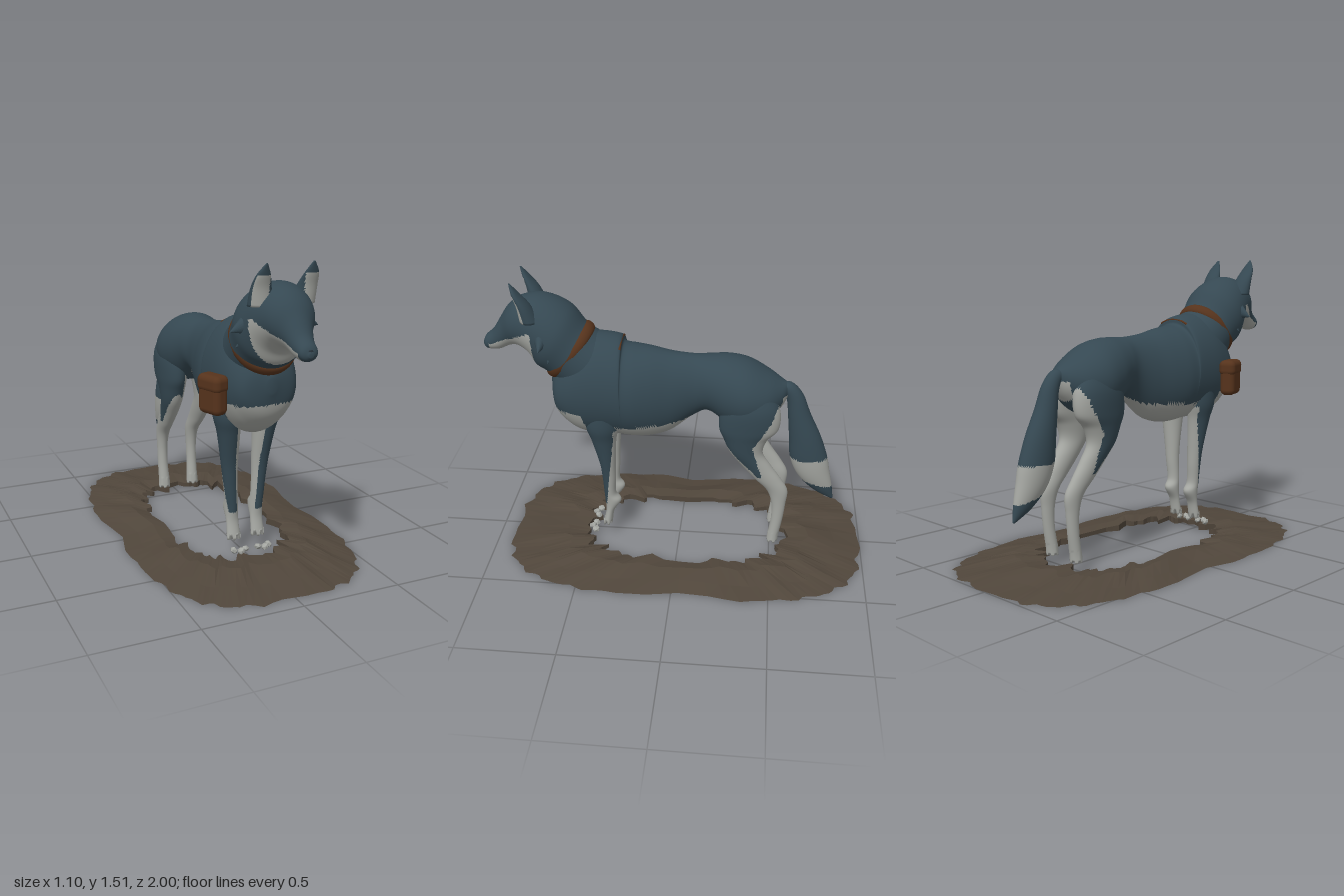
import * as THREE from 'three';
import { RoundedBoxGeometry } from 'three/addons/geometries/RoundedBoxGeometry.js';

const mat = (name, color, side = THREE.FrontSide) => {
  const m = new THREE.MeshStandardMaterial({ color, side });
  m.name = name;
  return m;
};
const lerp = THREE.MathUtils.lerp;
// piecewise linear function through [x, y] pairs sorted by x
const ramp = (pts, x) => {
  if (x <= pts[0][0]) return pts[0][1];
  for (let i = 1; i < pts.length; i++) {
    const [a, b] = [pts[i - 1], pts[i]];
    if (x <= b[0]) return lerp(a[1], b[1], (x - a[0]) / (b[0] - a[0]));
  }
  return pts[pts.length - 1][1];
};

// Smooth skin through elliptical sections [x, y, z, halfWidth, halfHeight, tiltDegrees].
// rule(point, sine) picks the material index of each face; adjust(point, j) may move points.
function loft(sections, rule = () => 0, { around = 48, steps = 8, adjust } = {}) {
  const centres = new THREE.CatmullRomCurve3(sections.map(s => new THREE.Vector3(s[0], s[1], s[2])), false, 'catmullrom', 0.5);
  const sizes = new THREE.CatmullRomCurve3(sections.map(s => new THREE.Vector3(s[3], s[4], s[5])), false, 'catmullrom', 0.5);
  const rows = (sections.length - 1) * steps;
  const pts = [], faces = [[], []];
  for (let i = 0; i <= rows; i++) {
    const c = centres.getPoint(i / rows), s = sizes.getPoint(i / rows);
    const a = THREE.MathUtils.degToRad(s.z);
    for (let j = 0; j < around; j++) {
      const t = j / around * Math.PI * 2, u = Math.max(s.y, 0.002) * Math.sin(t);
      const p = new THREE.Vector3(c.x + Math.max(s.x, 0.002) * Math.cos(t), c.y + u * Math.cos(a), c.z + u * Math.sin(a));
      if (adjust) adjust(p, j);
      pts.push(p);
    }
  }
  const add = (a, b, c, j) => {
    const mid = pts[a].clone().add(pts[b]).add(pts[c]).divideScalar(3);
    faces[rule(mid, Math.sin(j / around * Math.PI * 2))].push(a, b, c);
  };
  for (let i = 0; i < rows; i++) for (let j = 0; j < around; j++) {
    const k = (j + 1) % around, a = i * around + j, b = i * around + k;
    add(a, b, b + around, j + 0.5);
    add(a, b + around, a + around, j + 0.5);
  }
  // end caps
  const last = rows * around;
  pts.push(centres.getPoint(0), centres.getPoint(1));
  for (let j = 0; j < around; j++) {
    const k = (j + 1) % around;
    add(pts.length - 2, k, j, j);
    add(pts.length - 1, last + j, last + k, j);
  }
  const g = new THREE.BufferGeometry().setFromPoints(pts);
  g.setIndex(faces.flat());
  g.addGroup(0, faces[0].length, 0);
  g.addGroup(faces[0].length, faces[1].length, 1);
  g.computeVertexNormals();
  return g;
}
// sections given by extent: [z, top, bottom, halfWidth] and [y, front, back, x, halfWidth]
const upright = rows => rows.map(([z, t, b, w]) => [0, (t + b) / 2, z, w, (t - b) / 2, 0]);
const level = (rows, side) => rows.map(([y, f, b, x, w]) => [side * x, y, (f + b) / 2, w, (f - b) / 2, 90]);

// Muddy ring of ground with a ragged hole
function groundGeometry() {
  const n = 110, pts = [], idx = [];
  const profile = [[0, 0.004], [0.35, 0.022], [0.72, 0.045], [1, 0.036], [1, 0.008]];
  const spow = (v, e) => Math.sign(v) * Math.abs(v) ** e;
  for (let i = 0; i < n; i++) {
    const t = i / n * Math.PI * 2, c = spow(Math.cos(t), 0.62), s = spow(Math.sin(t), 0.62);
    const wave = 1 + 0.012 * Math.sin(23 * t) + 0.01 * Math.sin(37 * t + 1);
    const waist = 1 - 0.07 * Math.exp(-((s / 0.16) ** 2));
    const rag = 1 + 0.05 * Math.sin(17 * t + 2) + 0.06 * Math.sin(29 * t) * Math.sin(5 * t);
    for (const [k, y] of profile) {
      const bump = y > 0.01 ? 0.006 * Math.sin(13 * t + k * 5) : 0;
      pts.push(new THREE.Vector3(
        lerp(c * 0.55 * wave * waist, c * 0.285 * rag, k), y + bump - 0.004,
        lerp(s * 0.955 * wave, s * 0.53 * rag, k) - 0.035));
    }
  }
  const m = profile.length;
  for (let i = 0; i < n; i++) for (let k = 0; k < m; k++) {
    const i2 = (i + 1) % n, k2 = (k + 1) % m;
    const a = i * m + k, b = i2 * m + k, c = i * m + k2, d = i2 * m + k2;
    idx.push(a, c, b, b, c, d);
  }
  let g = new THREE.BufferGeometry().setFromPoints(pts);
  g.setIndex(idx);
  g = g.toNonIndexed();
  g.computeVertexNormals();
  return g;
}

export function createModel() {
  const root = new THREE.Group();
  const dark = mat('slate fur', 0x354852), light = mat('pale fur', 0xa4a6a1, THREE.DoubleSide);
  const leather = mat('brown leather', 0x56331c), earth = mat('earth', 0x50463b, THREE.DoubleSide);
  const noseMat = mat('nose', 0x27323a);
  const fur = [dark, light];
  const put = (name, geometry, material, x = 0, y = 0, z = 0) => {
    const m = new THREE.Mesh(geometry, material);
    m.name = name;
    m.position.set(x, y, z);
    root.add(m);
    return m;
  };

  // Torso with pale belly and a stepped shoulder mantle
  const belly = [[-0.3, 0.70], [-0.16, 0.835], [-0.02, 0.775], [0.33, 0.75], [0.36, 0.70], [0.46, 0.70], [0.49, 0.83], [0.65, 0.84]];
  put('torso', loft(upright([
    [-0.56, 0.98, 0.92, 0.015], [-0.52, 1.0, 0.85, 0.08], [-0.45, 1.045, 0.78, 0.145], [-0.35, 1.10, 0.74, 0.178],
    [-0.25, 1.122, 0.76, 0.165], [-0.15, 1.12, 0.82, 0.13], [-0.07, 1.12, 0.78, 0.113], [0.04, 1.13, 0.69, 0.135],
    [0.14, 1.15, 0.655, 0.165], [0.22, 1.16, 0.65, 0.185], [0.28, 1.17, 0.655, 0.19], [0.30, 1.207, 0.658, 0.195],
    [0.42, 1.222, 0.66, 0.196], [0.50, 1.20, 0.67, 0.188], [0.57, 1.13, 0.715, 0.17], [0.63, 1.04, 0.79, 0.125],
    [0.66, 0.97, 0.90, 0.02]]),
    p => (p.y < ramp(belly, p.z) || (p.z < -0.5 && p.y < 0.93 && Math.abs(p.x) < 0.07) ? 1 : 0)), fur);

  // Neck, skull and muzzle in one skin
  put('neckAndHead', loft([
    [0, 1.0, 0.40, 0.16, 0.19, -30], [0, 1.125, 0.555, 0.165, 0.16, -40], [0, 1.205, 0.635, 0.178, 0.178, -30],
    [0, 1.26, 0.715, 0.158, 0.162, -13], [0, 1.27, 0.785, 0.132, 0.135, 0], [0, 1.255, 0.835, 0.108, 0.108, 8],
    [0, 1.215, 0.88, 0.073, 0.078, 15], [0, 1.17, 0.93, 0.053, 0.057, 12], [0, 1.15, 0.98, 0.042, 0.036, 8],
    [0, 1.145, 1.0, 0.012, 0.01, 0]],
    p => (p.z > 0.72 && p.z < 0.965 && p.y < ramp([[0.74, 1.265], [0.84, 1.21], [0.95, 1.155]], p.z) ? 1 : 0),
    { around: 64, steps: 10 }), fur);
  const nose = put('nose', new THREE.SphereGeometry(0.03, 20, 14), noseMat, 0, 1.158, 0.972);
  nose.scale.set(1.1, 0.75, 0.85);

  // Tail with a pale band and dark tip
  put('tail', loft([
    [0, 0.955, -0.50, 0.03, 0.03, 160], [0, 0.955, -0.55, 0.035, 0.035, 145], [0, 0.90, -0.59, 0.042, 0.045, 118],
    [0, 0.80, -0.618, 0.052, 0.058, 100], [0, 0.67, -0.655, 0.063, 0.082, 95], [0, 0.55, -0.682, 0.066, 0.097, 95],
    [0, 0.45, -0.715, 0.058, 0.085, 100], [0, 0.36, -0.768, 0.036, 0.052, 105], [0, 0.288, -0.825, 0.004, 0.006, 110]],
    p => (p.y < 0.55 && p.y > 0.40 + 0.25 * (p.z + 0.7) ? 1 : 0)), fur);

  const ragged = (p, j) => { if (p.y < 0.105) p.y += (j % 8 < 4 ? 0.022 : 0) * (p.z > 0 ? 1 : 0.5); };
  for (const side of [1, -1]) {
    const name = side > 0 ? 'left' : 'right';

    put(name + 'FrontLeg', loft(level([
      [0.90, 0.47, 0.30, 0.10, 0.07], [0.75, 0.48, 0.305, 0.105, 0.068], [0.65, 0.455, 0.325, 0.095, 0.056],
      [0.50, 0.42, 0.335, 0.084, 0.044], [0.40, 0.41, 0.338, 0.078, 0.037], [0.30, 0.405, 0.342, 0.071, 0.034],
      [0.25, 0.403, 0.315, 0.068, 0.036], [0.18, 0.40, 0.355, 0.066, 0.032], [0.09, 0.42, 0.37, 0.066, 0.036]], side),
      p => (p.y > 0.73 || (p.y > 0.23 && Math.abs(p.x) > lerp(0.05, 0.075, (p.y - 0.23) / 0.45)
        && p.z > ramp([[0.2, 0.395], [0.45, 0.365], [0.68, 0.335]], p.y)) ? 0 : 1), { adjust: ragged }), fur);

    put(name + 'HindLeg', loft(level([
      [0.98, -0.27, -0.46, 0.09, 0.06], [0.88, -0.22, -0.515, 0.095, 0.082], [0.77, -0.21, -0.515, 0.1, 0.075],
      [0.70, -0.235, -0.46, 0.1, 0.065], [0.62, -0.27, -0.44, 0.1, 0.054], [0.54, -0.33, -0.485, 0.096, 0.045],
      [0.46, -0.40, -0.54, 0.094, 0.038], [0.385, -0.47, -0.58, 0.09, 0.034], [0.30, -0.50, -0.575, 0.09, 0.029],
      [0.20, -0.503, -0.565, 0.09, 0.028], [0.10, -0.49, -0.55, 0.088, 0.031], [0.05, -0.485, -0.545, 0.088, 0.034]], side),
      p => (p.y > 0.48 && Math.abs(p.x) > 0.07
        && p.z > ramp([[0.48, -0.44], [0.67, -0.385], [0.80, -0.46], [0.93, -0.52]], p.y)
        && p.z < ramp([[0.48, -0.42], [0.62, -0.29], [0.73, -0.20]], p.y) ? 0 : 1), { adjust: ragged }), fur);

    // Toe tips showing above the mud
    for (const [dx, dz] of [[0.035, 0.465], [0.065, 0.48], [0.095, 0.46]]) {
      const toe = put(name + 'Toe', new THREE.IcosahedronGeometry(0.02, 0), light, side * dx, 0.058, dz);
      toe.scale.set(0.8, 1.1, 1);
      toe.rotation.set(dx * 20, dx * 40, 0.3);
    }

    // Ear with pale inner face
    put(name + 'Ear', loft([
      [side * 0.1, 1.32, 0.725, 0.062, 0.05, -90], [side * 0.112, 1.40, 0.75, 0.049, 0.033, -90],
      [side * 0.117, 1.46, 0.782, 0.034, 0.018, -90], [side * 0.114, 1.512, 0.808, 0.004, 0.004, -90]],
      (p, s) => (s < -0.45 && p.y < 1.46 && Math.abs(p.x) > 0.085 ? 1 : 0), { around: 32 }), fur);

    put(name + 'Eye', new THREE.SphereGeometry(0.011, 12, 8), light, side * 0.046, 1.303, 0.862);

    // Cheek tufts
    for (const [y, z, reach, tilt] of [[1.225, 0.67, 0.225, 0.35], [1.16, 0.635, 0.185, 0.55]]) {
      const tuft = put(name + 'CheekTuft', new THREE.ConeGeometry(0.075, 0.14, 20), dark, side * (reach - 0.068), y, z);
      tuft.rotation.z = -side * (Math.PI / 2 + tilt);
      tuft.scale.z = 0.75;
    }
  }

  // Collar, sunk into the fur at the sides, and a short strap over the shoulders
  const collar = put('collar', new THREE.TorusGeometry(0.156, 0.018, 12, 64), leather, 0, 1.125, 0.555);
  collar.rotation.x = THREE.MathUtils.degToRad(-40);
  collar.scale.set(0.95, 1, 1.7);
  const strap = put('shoulderStrap', new THREE.TorusGeometry(0.19, 0.006, 8, 32, 1), leather, 0, 1.003, 0.292);
  strap.rotation.z = Math.PI / 2 - 0.5;

  // Side pouch with flap
  const pouch = new THREE.Group();
  pouch.name = 'pouch';
  const bag = new THREE.Mesh(new RoundedBoxGeometry(0.08, 0.19, 0.14, 4, 0.03), leather);
  bag.name = 'pouchBag';
  const flap = new THREE.Mesh(new RoundedBoxGeometry(0.09, 0.085, 0.148, 4, 0.03), leather);
  flap.name = 'pouchFlap';
  flap.position.y = 0.052;
  pouch.add(bag, flap);
  pouch.position.set(-0.225, 0.883, 0.5);
  pouch.rotation.y = 0.33;
  root.add(pouch);

  put('ground', groundGeometry(), earth);
  return root;
}
